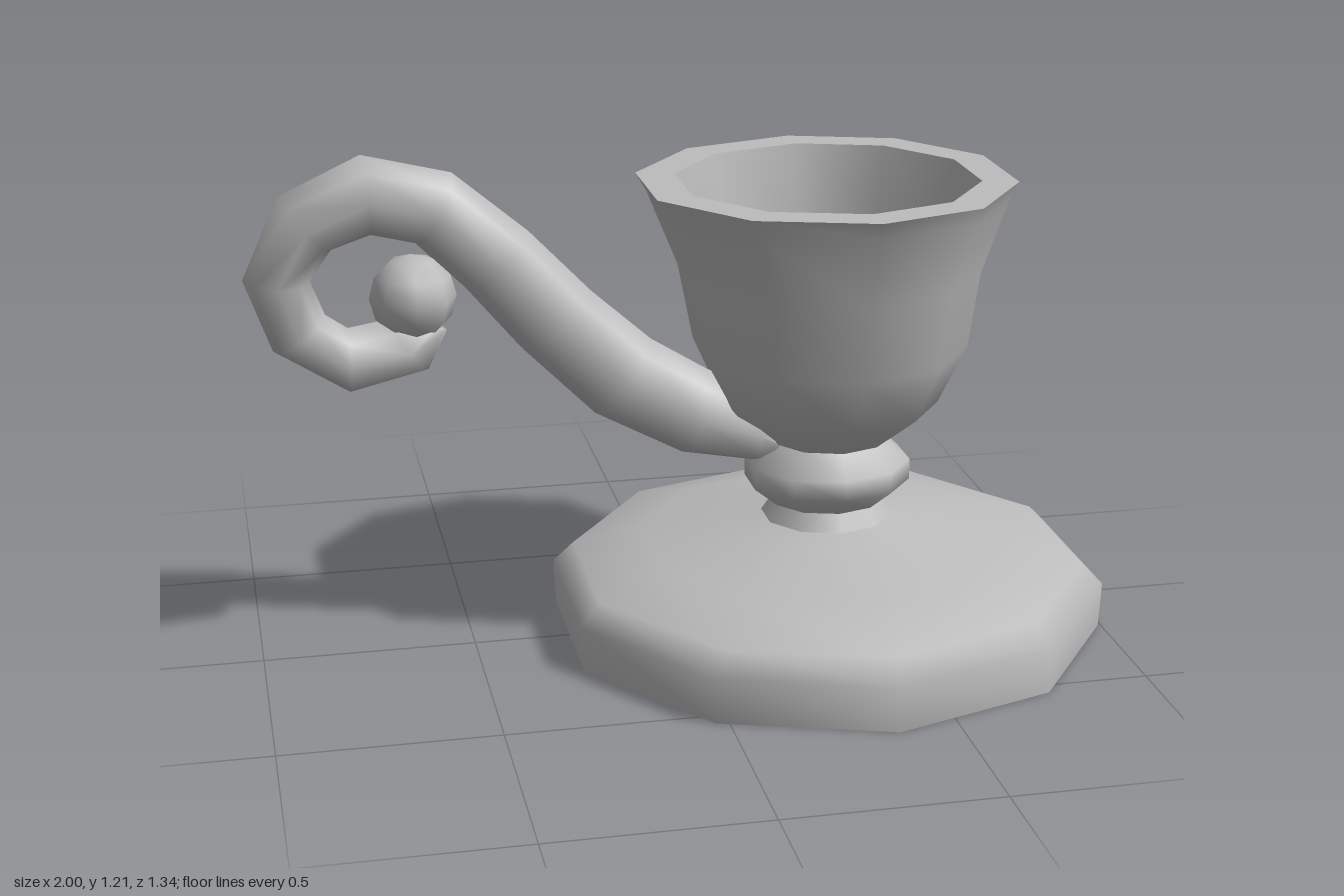
import * as THREE from 'three';

const CENTRE_X = 0.36;
const SIDES = 10;

export function createModel() {
  const model = new THREE.Group();
  model.name = 'candleHolder';
  const grey = new THREE.MeshStandardMaterial({ color: 0xbcbcbc });
  grey.name = 'grey';

  const add = (name, geometry) => {
    const mesh = new THREE.Mesh(geometry, grey);
    mesh.name = name;
    model.add(mesh);
    return mesh;
  };

  // Ten-sided turned part; profile is [radius, height] pairs
  const turn = (name, profile) => {
    const points = profile.map(([r, y]) => new THREE.Vector2(r, y));
    const mesh = add(name, new THREE.LatheGeometry(points, SIDES));
    mesh.position.x = CENTRE_X;
    return mesh;
  };

  // Cup part: the mouth bulges a little towards the handle
  const turnCup = (name, profile) => {
    const position = turn(name, profile).geometry.attributes.position;
    for (let i = 0; i < position.count; i++) {
      const x = position.getX(i);
      const rise = Math.max(0, (position.getY(i) - 0.7) / 0.4);
      if (x < 0) position.setX(i, x * (1 + 0.075 * rise));
    }
  };

  // Foot and stem, split where the edges are sharp
  turn('footUnderside', [[0, 0], [0.665, 0]]);
  turn('foot', [[0.665, 0], [0.67, 0.11], [0.62, 0.16], [0.45, 0.21], [0.22, 0.255], [0.15, 0.27]]);
  turn('neck', [[0.15, 0.27], [0.125, 0.31]]).scale.x = 1.05;
  turn('knob', [[0.125, 0.31], [0.18, 0.36], [0.18, 0.41], [0.125, 0.465]]).scale.x = 1.11;

  // Cup
  turnCup('cupUnderside', [[0.1, 0.465], [0.15, 0.47]]);
  turnCup('cupOutside', [[0.15, 0.47], [0.26, 0.56], [0.325, 0.7], [0.35, 0.88], [0.41, 1.06], [0.43, 1.1]]);
  turnCup('cupRim', [[0.43, 1.1], [0.345, 1.1]]);
  turnCup('cupInside', [[0.345, 1.1], [0.315, 0.95], [0.29, 0.74], [0.22, 0.63], [0.1, 0.57], [0, 0.56]]);

  // Curled handle
  add('handle', sweepHandle());

  // Ball inside the curl
  add('curlBall', new THREE.SphereGeometry(0.1, 8, 6)).position.set(-0.62, 0.87, 0);

  return model;
}

// Eight-sided rings, each given by its outer and inner edge point and its half depth
function sweepHandle() {
  const rings = [
    [0.23, 0.5, 0.235, 0.45, 0.06],
    [0.17, 0.6, 0.176, 0.417, 0.1],
    [0.064, 0.652, 0.005, 0.449, 0.1],
    [-0.07, 0.735, -0.203, 0.561, 0.1],
    [-0.21, 0.86, -0.374, 0.733, 0.1],
    [-0.353, 1.01, -0.5, 0.885, 0.1],
    [-0.524, 1.155, -0.61, 0.995, 0.1],
    [-0.727, 1.205, -0.71, 1.02, 0.098],
    [-0.914, 1.118, -0.8, 0.99, 0.095],
    [-1, 0.93, -0.85, 0.92, 0.09],
    [-0.94, 0.76, -0.82, 0.84, 0.088],
    [-0.77, 0.652, -0.77, 0.805, 0.085],
    [-0.59, 0.695, -0.68, 0.82, 0.08],
    [-0.545, 0.786, -0.61, 0.83, 0.045],
  ];
  const n = 8;
  const positions = [];
  const index = [];
  rings.forEach(([ox, oy, ix, iy, depth], k) => {
    for (let j = 0; j < n; j++) {
      const a = (j / n) * Math.PI * 2;
      const t = (1 + Math.cos(a)) / 2;
      positions.push(ix + (ox - ix) * t, iy + (oy - iy) * t, depth * Math.sin(a));
      if (k === 0) continue;
      const b = k * n + j, c = k * n + ((j + 1) % n);
      index.push(b - n, b, c - n, c - n, b, c);
    }
  });
  // End caps
  const last = (rings.length - 1) * n;
  for (let j = 1; j < n - 1; j++) {
    index.push(0, j, j + 1);
    index.push(last, last + j + 1, last + j);
  }
  const geometry = new THREE.BufferGeometry();
  geometry.setAttribute('position', new THREE.Float32BufferAttribute(positions, 3));
  geometry.setIndex(index);
  geometry.computeVertexNormals();
  return geometry;
}
